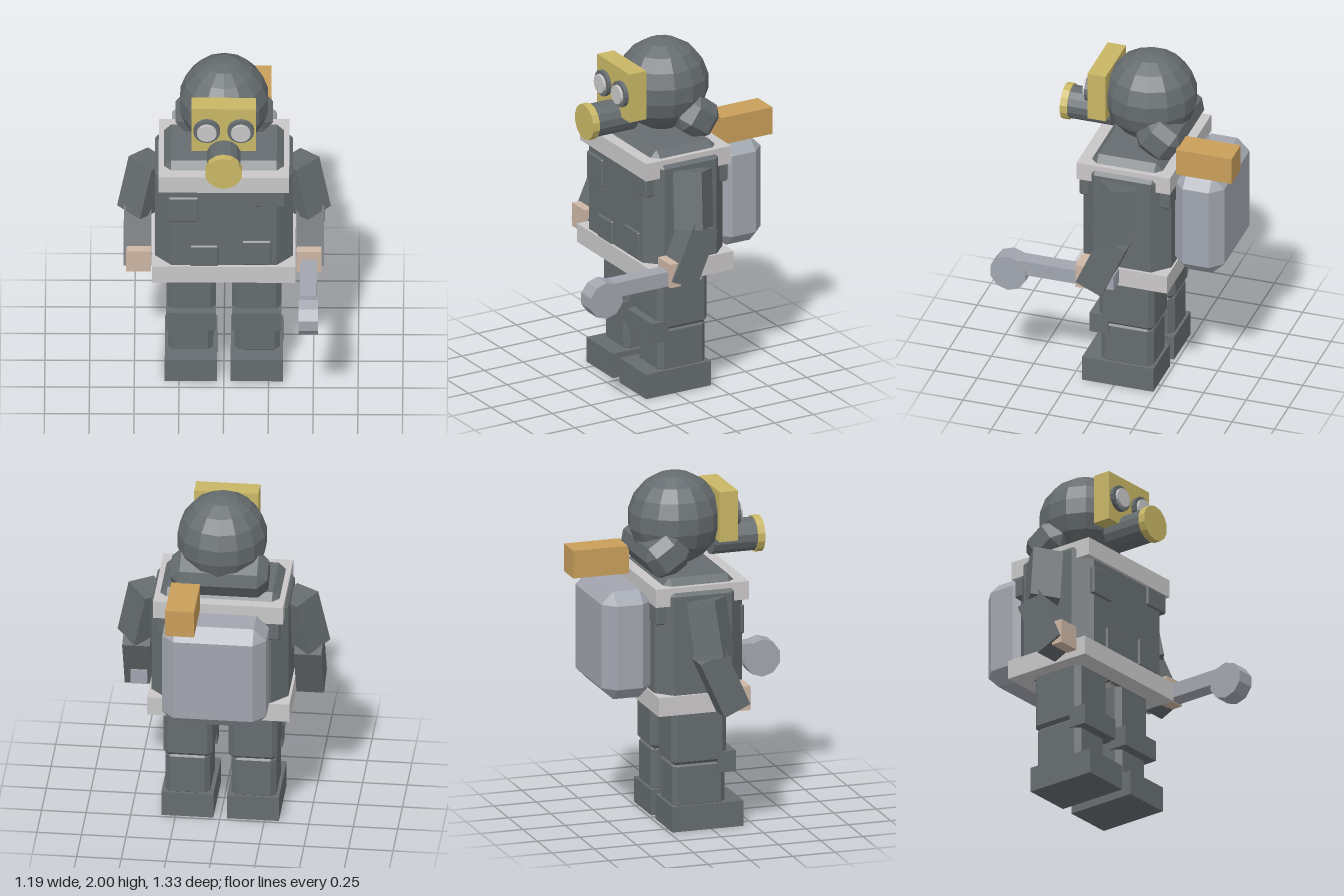
import * as THREE from 'three';
import { ConvexGeometry } from 'three/addons/geometries/ConvexGeometry.js';

const mat = (name, color) => {
  const m = new THREE.MeshStandardMaterial({ color });
  m.name = name;
  return m;
};

// Faceted copy of a geometry
function faceted(geo) {
  const g = geo.index ? geo.toNonIndexed() : geo;
  g.computeVertexNormals();
  return g;
}

// Box with all edges cut at 45 degrees
function chamferBox(w, h, d, c) {
  const pts = [];
  const half = [w / 2, h / 2, d / 2];
  for (const sx of [-1, 1]) for (const sy of [-1, 1]) for (const sz of [-1, 1]) {
    for (let axis = 0; axis < 3; axis++) {
      const p = half.map((v, i) => (i === axis ? v : v - c));
      pts.push(new THREE.Vector3(p[0] * sx, p[1] * sy, p[2] * sz));
    }
  }
  return new ConvexGeometry(pts);
}

export function createModel() {
  const suit = mat('dark suit grey', 0x666c6f);
  const light = mat('light grey', 0xc9c7c8);
  const brass = mat('brass yellow', 0xc9b766);
  const orange = mat('orange', 0xc99f5b);
  const steel = mat('steel blue grey', 0xa2a6af);
  const skin = mat('skin', 0xcdb6a4);

  const model = new THREE.Group();
  model.name = 'maskedFigure';

  const add = (name, geo, material, x = 0, y = 0, z = 0) => {
    const m = new THREE.Mesh(geo, material);
    m.name = name;
    m.position.set(x, y, z);
    model.add(m);
    return m;
  };
  // Box from its limits, chamfered when c is given
  const box = (name, material, [x0, x1], [y0, y1], [z0, z1], c = 0) => {
    const s = [x1 - x0, y1 - y0, z1 - z0];
    const geo = c ? chamferBox(...s, c) : new THREE.BoxGeometry(...s);
    return add(name, geo, material, (x0 + x1) / 2, (y0 + y1) / 2, (z0 + z1) / 2);
  };
  // Cylinder lying along z
  const tubeZ = (name, material, r, sides, x, y, z0, z1) => add(name,
    faceted(new THREE.CylinderGeometry(r, r, z1 - z0, sides).rotateX(Math.PI / 2)),
    material, x, y, (z0 + z1) / 2);

  // Torso with collar and belt slabs
  box('torso', suit, [-0.385, 0.385], [0.7, 1.47], [-0.325, 0.192], 0.09);
  box('collar', light, [-0.365, 0.365], [1.325, 1.43], [-0.34, 0.21]);
  box('belt', light, [-0.4, 0.4], [0.7, 0.81], [-0.335, 0.21]);

  // Pockets
  const pockets = [[-0.31, -0.14, 1.11, 1.28], [-0.19, -0.03, 0.78, 0.945],
    [0.1, 0.265, 0.815, 0.98], [0.175, 0.345, 1.215, 1.38]];
  for (const [x0, x1, y0, y1] of pockets) {
    box('frontPocket', suit, [x0, x1], [y0, y1], [0.14, 0.202], 0.008);
  }
  for (const s of [-1, 1]) {
    box('backPocket', suit, [s * 0.26 - 0.085, s * 0.26 + 0.085], [1.215, 1.38], [-0.333, -0.265], 0.008);
  }

  // Hooded head and the tilted neck guard behind it
  const head = add('head', faceted(new THREE.SphereGeometry(1, 14, 9).rotateY(Math.PI / 2)),
    suit, 0, 1.735, -0.106);
  head.scale.set(0.255, 0.265, 0.266);
  const guard = add('neckGuard', chamferBox(0.545, 0.22, 0.235, 0.055), suit, 0, 1.57, -0.22);
  guard.rotation.x = -0.6;

  // Mask plate, goggles and breathing snout
  box('maskPlate', brass, [-0.18, 0.18], [1.615, 1.905], [0.1, 0.208]);
  for (const s of [-1, 1]) {
    tubeZ('goggleRim', suit, 0.075, 16, s * 0.095, 1.762, 0.18, 0.232);
    tubeZ('goggleLens', light, 0.055, 16, s * 0.095, 1.762, 0.2, 0.248);
  }
  tubeZ('snout', suit, 0.095, 14, 0, 1.595, 0.1, 0.356);
  tubeZ('snoutCap', brass, 0.104, 14, 0, 1.595, 0.355, 0.397);

  // Arms: yawed, outward-leaning upper arm and forward-leaning forearm
  for (const s of [-1, 1]) {
    const top = new THREE.Vector3(s * 0.415, 1.36, -0.06);
    const bottom = new THREE.Vector3(s * 0.48, 1.04, -0.03);
    const upper = add('upperArm', new THREE.BoxGeometry(0.17, top.distanceTo(bottom), 0.17).rotateY(s * 0.7), suit);
    upper.position.copy(top).add(bottom).multiplyScalar(0.5);
    upper.quaternion.setFromUnitVectors(new THREE.Vector3(0, 1, 0), top.clone().sub(bottom).normalize());

    const fore = add('forearm', new THREE.BoxGeometry(0.155, 0.35, 0.165), suit, s * 0.482, 0.9, 0.005);
    fore.rotation.x = -0.42;
    box('hand', skin, [s * 0.476 - 0.069, s * 0.476 + 0.069], [0.735, 0.875], [0.09, 0.157]);
  }

  // Legs
  for (const s of [-1, 1]) {
    const span = (a, b) => (s > 0 ? [a, b] : [-b, -a]);
    box('thigh', suit, span(0.045, 0.32), [0.37, 0.78], [-0.225, 0.1], 0.03);
    box('kneePad', suit, span(0.045, 0.322), [0.32, 0.44], [0.04, 0.148]);
    box('shin', suit, span(0.06, 0.312), [0.12, 0.4], [-0.217, 0.092], 0.03);
    box('boot', suit, span(0.038, 0.33), [0, 0.147], [-0.23, 0.19]);
  }

  // Backpack with a box on top
  box('backpack', steel, [-0.292, 0.292], [0.775, 1.4], [-0.613, -0.32], 0.07);
  box('topBox', orange, [0.1, 0.262], [1.4, 1.56], [-0.668, -0.34]);

  // Hammer held in the left hand
  box('hammerShaft', steel, [0.427, 0.52], [0.738, 0.825], [-0.06, 0.5]);
  add('hammerHead', faceted(new THREE.CylinderGeometry(0.108, 0.108, 0.107, 10)
    .rotateY(Math.PI / 10).rotateZ(Math.PI / 2)), steel, 0.474, 0.735, 0.56);

  return model;
}
